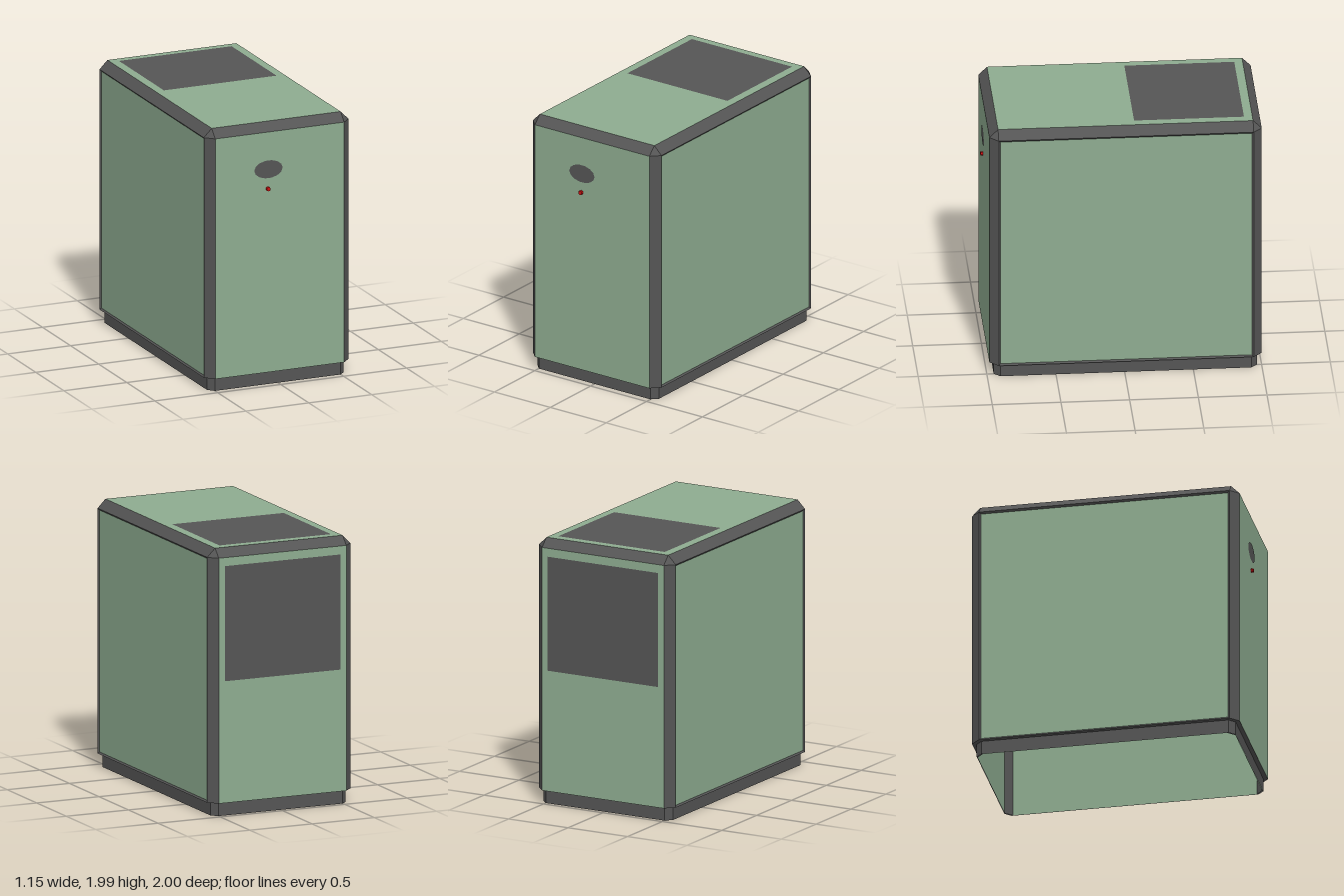
import * as THREE from 'three';

const paint = (color) => new THREE.MeshStandardMaterial({ color, side: THREE.DoubleSide, flatShading: true });

// Rectangle with cut corners at height y: even sides are flats (front, +x, back, -x), odd ones corners
const ring = (hx, hz, c, y) => [
  [-(hx - c), hz], [hx - c, hz], [hx, hz - c], [hx, -(hz - c)],
  [hx - c, -hz], [-(hx - c), -hz], [-hx, -(hz - c)], [-hx, hz - c],
].map(([x, z]) => new THREE.Vector3(x, y, z));

// Quads joining two rings on the chosen sides
const band = (a, b, sides) => sides.map((i) => {
  const j = (i + 1) % a.length;
  return [a[i], a[j], b[j], b[i]];
});

// Faceted mesh from quads given anticlockwise as seen from outside
function shell(name, quads, material, inward = false) {
  const points = [];
  for (const [a, b, c, d] of quads) {
    for (const t of [[a, b, c], [a, c, d]]) {
      if (new THREE.Triangle(...t).getArea() < 1e-9) continue;
      points.push(...(inward ? [t[0], t[2], t[1]] : t));
    }
  }
  const geometry = new THREE.BufferGeometry().setFromPoints(points);
  geometry.computeVertexNormals();
  const mesh = new THREE.Mesh(geometry, material);
  mesh.name = name;
  return mesh;
}

export function createModel() {
  const green = paint(0x8eac90), dark = paint(0x555555), red = paint(0xcc1111);
  const model = new THREE.Group();
  model.name = 'cabinet';
  const HX = 0.575, HZ = 0.991, C = 0.063, BASE = 0.1, SHOULDER = 1.922, TOP = 1.985;
  const flats = [0, 2, 4, 6], corners = [1, 3, 5, 7], all = [0, 1, 2, 3, 4, 5, 6, 7];

  const low = ring(HX, HZ, C, BASE);
  const high = ring(HX, HZ, C, SHOULDER);
  const top = ring(HX - C, HZ - C, 0, TOP);
  const plinthLow = ring(0.543, 0.959, 0.045, 0);
  const plinthHigh = ring(0.543, 0.959, 0.045, BASE);

  // Front, back and top panels
  model.add(shell('frontAndBackPanels', band(low, high, [0, 4]), green));
  model.add(shell('topPanel', [[top[0], top[2], top[4], top[6]]], green));

  // Chamfered corner posts and top edges
  model.add(shell('cornerPosts', band(low, high, corners), dark));
  model.add(shell('topEdges', band(high, top, all), dark));

  // Plinth and the ledge above it
  model.add(shell('plinth', band(plinthLow, plinthHigh, all), dark));
  model.add(shell('underLedge', band(plinthHigh, low, all), dark));

  // Slightly recessed side panels, each in a thin dark lip
  for (const i of [2, 6]) {
    const [outer] = band(low, high, [i]);
    const middle = new THREE.Vector3();
    outer.forEach((p) => middle.addScaledVector(p, 0.25));
    const inner = outer.map((p) => new THREE.Vector3(
      p.x - Math.sign(p.x) * 0.01,
      p.y + Math.sign(middle.y - p.y) * 0.013,
      p.z + Math.sign(middle.z - p.z) * 0.013,
    ));
    model.add(shell('sidePanel', [inner], green));
    model.add(shell('sideLip', band(outer, inner, [0, 1, 2, 3]), dark));
  }

  // Inner lining, open at the bottom
  const linerLow = ring(0.538, 0.954, 0.05, 0);
  const linerHigh = ring(0.538, 0.954, 0.05, SHOULDER);
  const ceiling = ring(0.5, 0.916, 0, TOP - 0.008);
  model.add(shell('innerWalls', band(linerLow, linerHigh, flats), green, true));
  model.add(shell('innerPosts', band(linerLow, linerHigh, corners), dark, true));
  model.add(shell('innerTopEdges', band(linerHigh, ceiling, all), dark, true));
  model.add(shell('ceiling', [[ceiling[0], ceiling[2], ceiling[4], ceiling[6]]], green, true));

  // Dark plates on the top and back
  const topPlate = new THREE.Mesh(new THREE.PlaneGeometry(0.895, 0.8), dark);
  topPlate.name = 'topVent';
  topPlate.rotation.x = -Math.PI / 2;
  topPlate.position.set(0, TOP + 0.002, -0.467);
  const backPlate = new THREE.Mesh(new THREE.PlaneGeometry(0.93, 0.855), dark);
  backPlate.name = 'backVent';
  backPlate.rotation.y = Math.PI;
  backPlate.position.set(0, 1.432, -HZ - 0.002);
  model.add(topPlate, backPlate);

  // Oval plate and small lamp on the front
  const oval = new THREE.Mesh(new THREE.CircleGeometry(1, 14), dark);
  oval.name = 'frontOval';
  oval.scale.set(0.113, 0.068, 1);
  oval.position.set(-0.09, 1.64, HZ + 0.002);
  const lamp = new THREE.Mesh(new THREE.CylinderGeometry(0.016, 0.016, 0.024, 8), red);
  lamp.name = 'lamp';
  lamp.rotation.x = Math.PI / 2;
  lamp.position.set(-0.095, 1.493, HZ + 0.006);
  model.add(oval, lamp);

  // Centre the whole depth, lamp included
  model.children.forEach((part) => { part.position.z -= 0.009; });
  return model;
}
